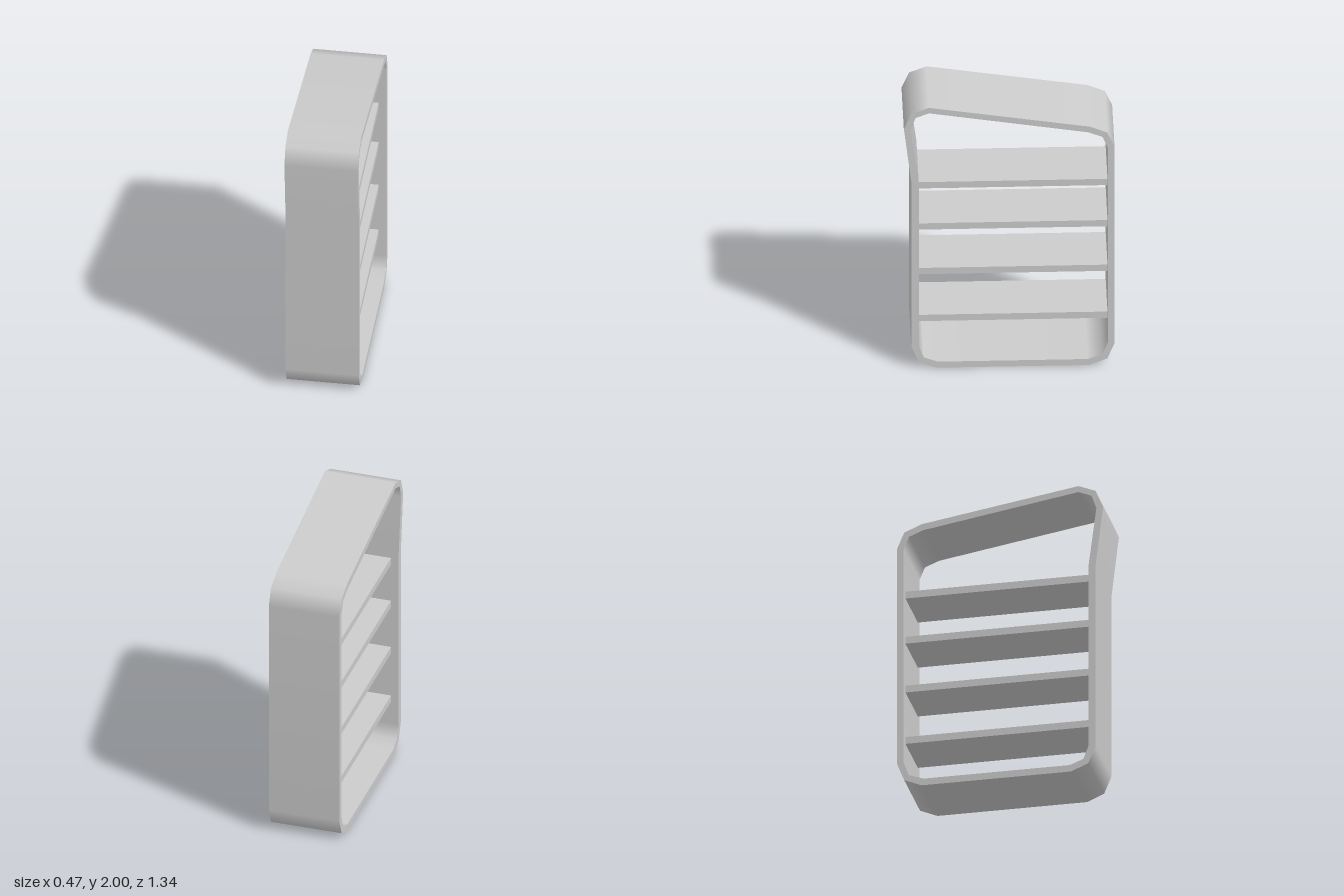
import * as THREE from 'three';

// Frame outlines as [z, y]
const OUTER = [
  [0.623, 0.164], [0.575, 0.048], [0.464, 0], [-0.511, 0], [-0.625, 0.048], [-0.671, 0.164],
  [-0.671, 1.677], [-0.625, 1.786], [-0.511, 1.834], [0.511, 2], [0.623, 1.955], [0.671, 1.839], [0.623, 1.431],
];
const INNER = [
  [0.576, 0.17], [0.543, 0.08], [0.453, 0.046], [-0.5, 0.046], [-0.593, 0.08], [-0.628, 0.17],
  [-0.628, 1.669], [-0.593, 1.754], [-0.5, 1.791], [0.511, 1.958], [0.596, 1.924], [0.628, 1.834], [0.576, 1.431],
];
const HALF_WIDTH = 0.236;
const SHELF_WIDTH = 0.37;
const SHELF_HEIGHTS = [0.35, 0.711, 1.054, 1.371];

// Closed wall along an outline, smooth across its corners; a reversed outline faces inward
function wallGeometry(outline) {
  const count = outline.length;
  const positions = [], normals = [], indices = [];
  outline.forEach(([z, y], i) => {
    const [prevZ, prevY] = outline[(i + count - 1) % count];
    const [nextZ, nextY] = outline[(i + 1) % count];
    const normal = new THREE.Vector3(0, nextZ - prevZ, prevY - nextY).normalize();
    for (const x of [-HALF_WIDTH, HALF_WIDTH]) {
      positions.push(x, y, z);
      normals.push(...normal);
    }
    const a = 2 * i, b = 2 * ((i + 1) % count);
    indices.push(a, b, a + 1, a + 1, b, b + 1);
  });
  const geometry = new THREE.BufferGeometry();
  geometry.setAttribute('position', new THREE.Float32BufferAttribute(positions, 3));
  geometry.setAttribute('normal', new THREE.Float32BufferAttribute(normals, 3));
  geometry.setIndex(indices);
  return geometry;
}

// Flat ring closing the frame edge on one side
function rimGeometry(side) {
  const points = (outline) => outline.map(([z, y]) => new THREE.Vector2(-side * z, y));
  const shape = new THREE.Shape(points(OUTER));
  shape.holes.push(new THREE.Path(points(INNER)));
  return new THREE.ShapeGeometry(shape).rotateY(side * Math.PI / 2).translate(side * HALF_WIDTH, 0, 0);
}

export function createModel() {
  const group = new THREE.Group();
  const material = new THREE.MeshStandardMaterial({ color: 0xcccccc });
  const add = (name, geometry, parent) => {
    const mesh = new THREE.Mesh(geometry, material);
    mesh.name = name;
    parent.add(mesh);
    return mesh;
  };

  // Closed band with chamfered corners and a slanted top
  const frame = new THREE.Group();
  frame.name = 'frame';
  group.add(frame);
  add('outerWall', wallGeometry(OUTER), frame);
  add('innerWall', wallGeometry([...INNER].reverse()), frame);
  add('leftRim', rimGeometry(1), frame);
  add('rightRim', rimGeometry(-1), frame);

  // Shelves, set in slightly from both open sides
  const shelfGeometry = new THREE.BoxGeometry(SHELF_WIDTH, 0.048, 1.206);
  SHELF_HEIGHTS.forEach((y, i) => {
    add(`shelf${i + 1}`, shelfGeometry, group).position.set(0, y, -0.026);
  });

  return group;
}
